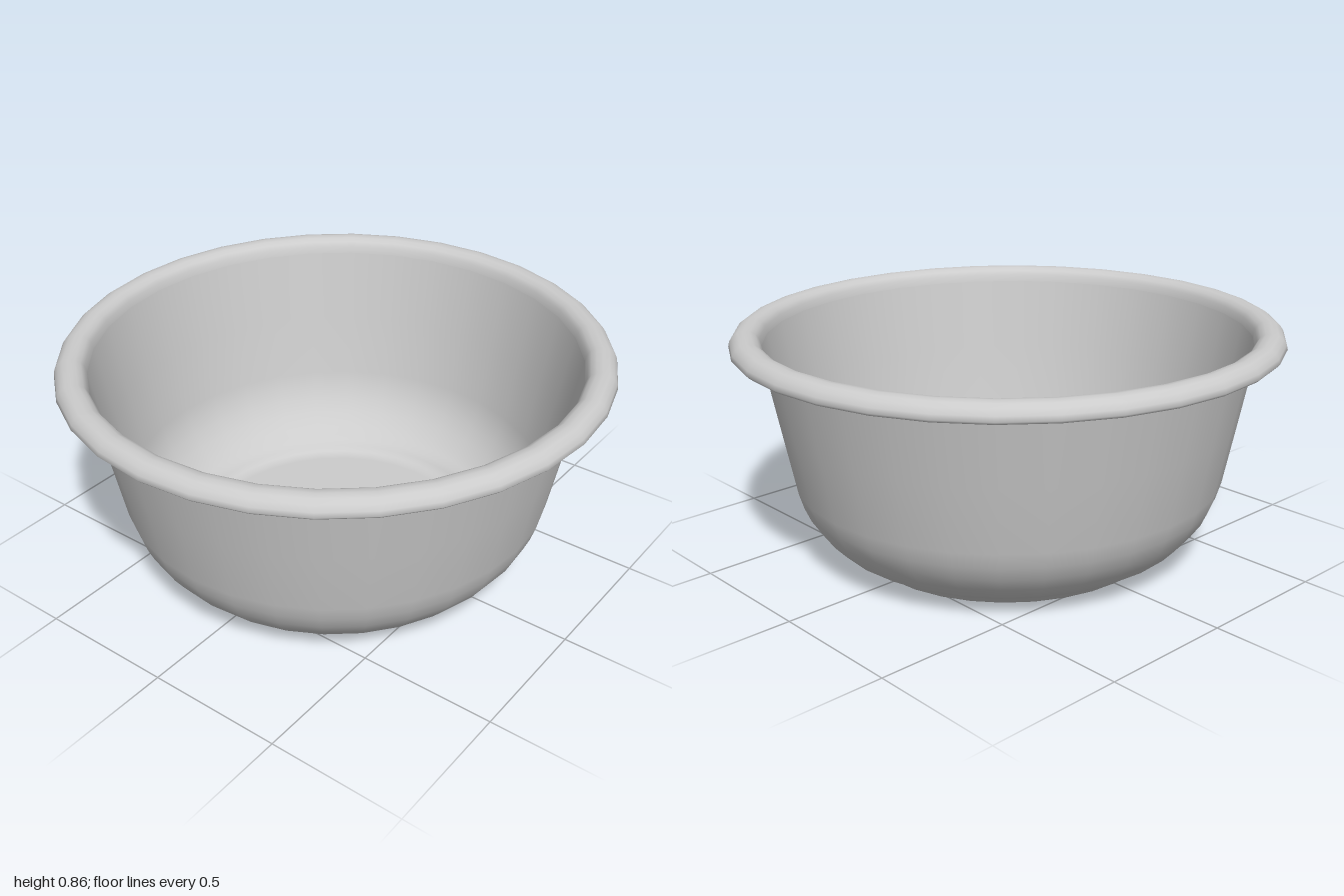
import * as THREE from 'three';

const SEGMENTS = 32;
const material = new THREE.MeshStandardMaterial({ color: 0xcccccc, side: THREE.DoubleSide });

// Revolves a list of [radius, height] points with smooth normals
function lathe(name, profile) {
  const points = profile.map(([r, y]) => new THREE.Vector2(r, y));
  const mesh = new THREE.Mesh(new THREE.LatheGeometry(points, SEGMENTS), material);
  mesh.name = name;
  return mesh;
}

export function createModel() {
  const basin = new THREE.Group();
  basin.name = 'basin';

  // Outside: flat base, small foot, rounded shoulder and flared wall
  basin.add(lathe('outerWall', [
    [0, 0], [0.54, 0], [0.56, 0.003], [0.582, 0.02], [0.6, 0.04], [0.64, 0.058],
    [0.675, 0.08], [0.72, 0.128], [0.757, 0.18], [0.78, 0.232], [0.798, 0.29],
    [0.845, 0.53], [0.896, 0.795],
  ]));

  // Rolled rim: flat underside, rounded outer edge, crown and inner lip
  basin.add(lathe('rim', [
    [0.896, 0.792], [0.975, 0.79], [0.991, 0.793], [1, 0.803], [0.996, 0.82],
    [0.984, 0.838], [0.967, 0.85], [0.945, 0.855], [0.922, 0.852], [0.904, 0.842],
    [0.892, 0.825], [0.886, 0.8],
  ]));

  // Inside: thin shell following the outer wall, down to a sunken floor
  basin.add(lathe('innerWall', [
    [0.886, 0.8], [0.833, 0.53], [0.786, 0.292], [0.768, 0.237], [0.746, 0.187],
    [0.711, 0.137], [0.667, 0.091], [0.634, 0.07], [0.608, 0.058], [0.593, 0.04],
    [0.575, 0.022], [0.555, 0.015], [0.53, 0.014], [0, 0.014],
  ]));

  // The bowl is very slightly oval
  basin.scale.z = 0.982;

  const model = new THREE.Group();
  model.name = 'washBasin';
  model.add(basin);
  return model;
}
